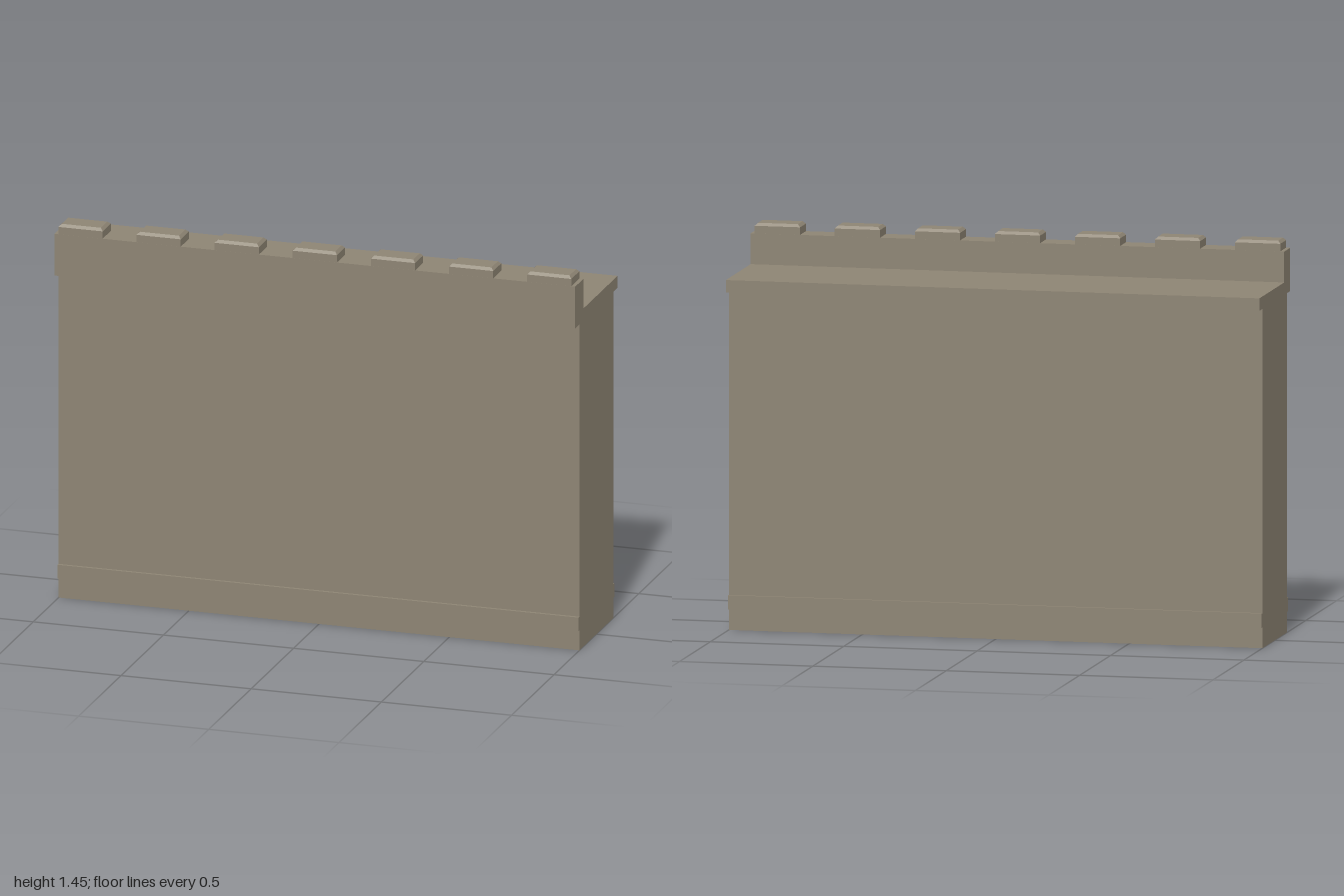
import * as THREE from 'three';

export function createModel() {
  const group = new THREE.Group();
  group.name = 'battlementWall';
  const stone = new THREE.MeshStandardMaterial({ color: 0x8d8473 });
  stone.name = 'stone';

  const add = (name, geometry, x = 0, y = 0, z = 0) => {
    const mesh = new THREE.Mesh(geometry, stone);
    mesh.name = name;
    mesh.position.set(x, y, z);
    group.add(mesh);
  };

  // Main wall block
  add('wallBody', new THREE.BoxGeometry(2, 1.256, 0.4), 0, 0.632, 0);

  // Narrow belt course along both long faces
  for (const [name, side] of [['frontBelt', 1], ['backBelt', -1]]) {
    add(name, new THREE.BoxGeometry(2, 0.053, 0.013), 0, 0.107, side * 0.2055);
  }

  // Overhanging walkway and parapet: one L-shaped section run along x
  // (section x becomes -z after the turn)
  const section = new THREE.Shape([
    [-0.25, 1.257], [0.25, 1.257], [0.25, 1.303],
    [-0.153, 1.303], [-0.153, 1.417], [-0.25, 1.417],
  ].map(([u, v]) => new THREE.Vector2(u, v)));
  const ledge = new THREE.ExtrudeGeometry(section, { depth: 2, bevelEnabled: false });
  ledge.translate(0, 0, -1).rotateY(Math.PI / 2);
  add('walkwayAndParapet', ledge);

  // Low merlons with chamfered top edges, seated in the parapet
  const w = 0.075, d = 0.038, chamfer = 0.01;
  const footprint = new THREE.Shape([
    new THREE.Vector2(-w, -d), new THREE.Vector2(w, -d),
    new THREE.Vector2(w, d), new THREE.Vector2(-w, d),
  ]);
  const merlon = new THREE.ExtrudeGeometry(footprint, {
    depth: 0.045, bevelEnabled: true, bevelSegments: 1,
    bevelSize: chamfer, bevelThickness: chamfer,
  });
  merlon.rotateX(-Math.PI / 2);
  for (let i = 0; i < 7; i++) {
    add(`merlon${i + 1}`, merlon, -0.9 + i * 0.3, 1.4, 0.2015);
  }

  return group;
}
